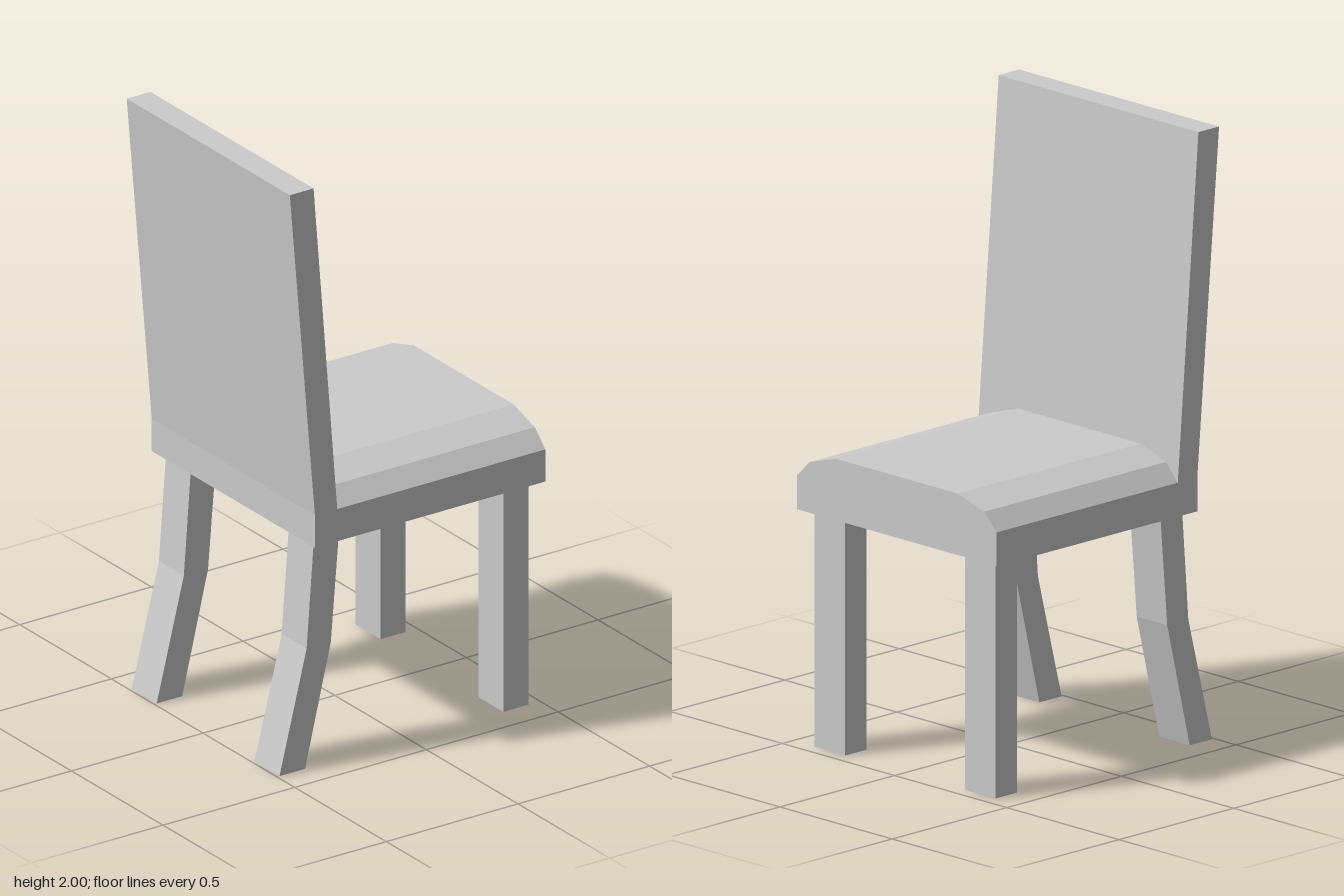
import * as THREE from 'three';

const material = new THREE.MeshStandardMaterial({ color: 0xcccccc, flatShading: true });

// Extrudes a closed outline along z, centred on z = 0
function slab(outline, depth) {
  const shape = new THREE.Shape(outline.map(([x, y]) => new THREE.Vector2(x, y)));
  const geometry = new THREE.ExtrudeGeometry(shape, { depth, bevelEnabled: false });
  return geometry.translate(0, 0, -depth / 2);
}

export function createModel() {
  const chair = new THREE.Group();
  chair.name = 'chair';

  function add(name, geometry, z = 0) {
    const mesh = new THREE.Mesh(geometry, material);
    mesh.name = name;
    mesh.position.z = z;
    chair.add(mesh);
  }

  const width = 0.89;
  const seatBottom = 0.77;

  // Leaning backrest with an upright foot beside the seat
  add('backrest', slab([
    [-0.385, seatBottom], [-0.3, seatBottom], [-0.3, 0.88],
    [-0.39, 2], [-0.48, 2], [-0.385, 0.88],
  ], width));

  // Seat with a crowned cushion top, its outline running across the chair
  const half = width / 2;
  const seatFront = 0.49, seatBack = -0.31;
  const seat = slab([
    [-half, seatBottom], [half, seatBottom], [half, 0.88], [0.388, 0.935],
    [0.272, 0.97], [-0.272, 0.97], [-0.388, 0.935], [-half, 0.88],
  ], seatFront - seatBack);
  seat.rotateY(Math.PI / 2).translate((seatFront + seatBack) / 2, 0, 0);
  add('seat', seat);

  // Straight front legs and bent, splayed back legs
  const frontLeg = [[0.36, 0], [0.455, 0], [0.455, seatBottom], [0.36, seatBottom]];
  const backLeg = [
    [-0.49, 0], [-0.393, 0], [-0.295, 0.41],
    [-0.265, seatBottom], [-0.36, seatBottom], [-0.387, 0.41],
  ];
  for (const side of [-1, 1]) {
    add('frontLeg', slab(frontLeg, 0.136), side * 0.335);
    add('backLeg', slab(backLeg, 0.136), side * 0.335);
  }

  return chair;
}
